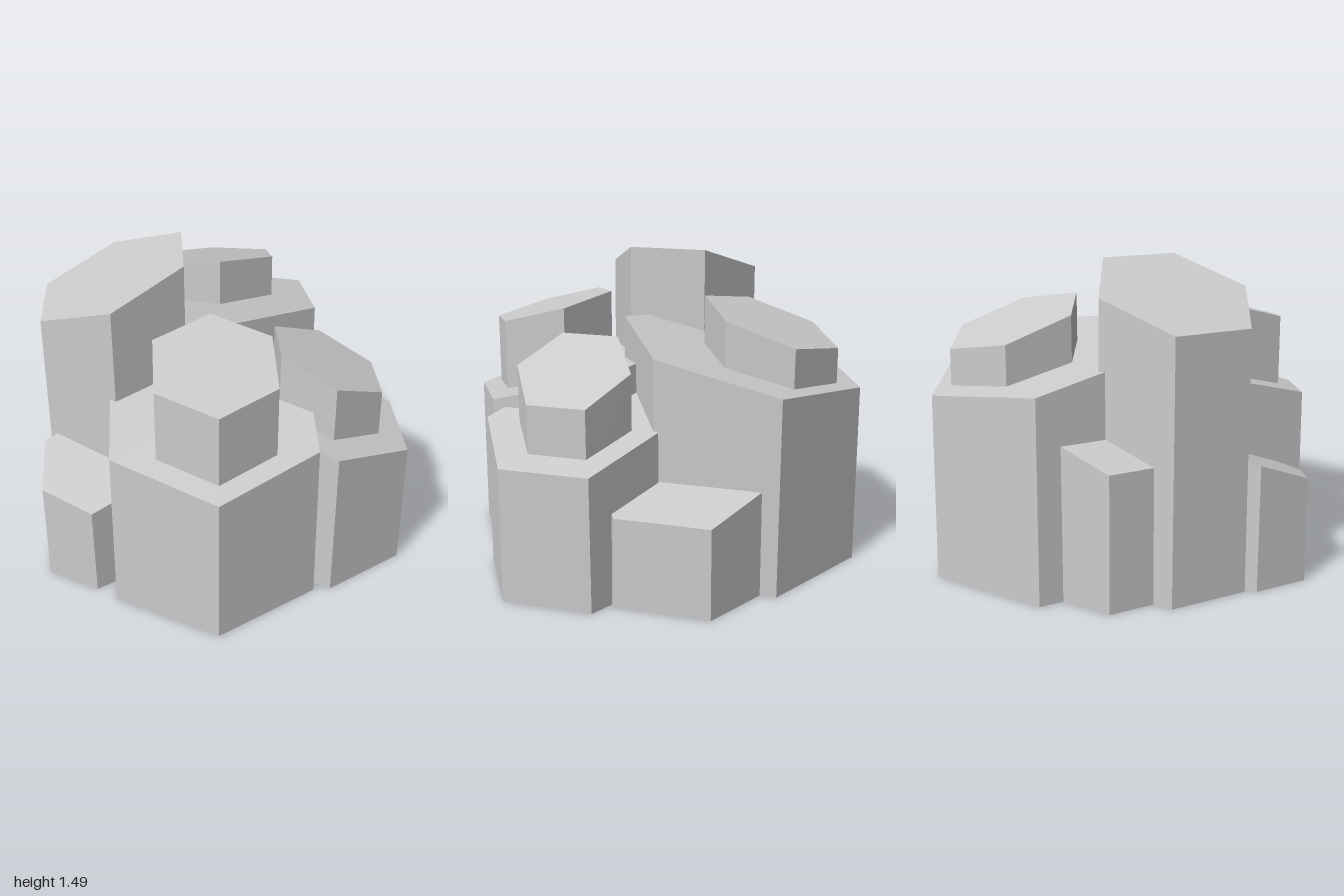
import * as THREE from 'three';

const TAPER = 1.02; // columns are slightly wider at the foot

// Six-sided prism with its top cut along a sloping plane.
// r: radius at the top, h: height on the axis, sx / sz: slope of the top along x and z
function hexPrism(name, material, { x, z, r, h, sx = 0, sz = 0, bottom = 0, taper = 1 }) {
  const indexed = new THREE.CylinderGeometry(r, r * taper, 1, 6);
  const p = indexed.attributes.position;
  for (let i = 0; i < p.count; i++) {
    const top = p.getY(i) > 0;
    p.setY(i, top ? h + sx * p.getX(i) + sz * p.getZ(i) : bottom);
  }
  const geometry = indexed.toNonIndexed();
  geometry.computeVertexNormals();
  const mesh = new THREE.Mesh(geometry, material);
  mesh.name = name;
  mesh.position.set(x, 0, z);
  return mesh;
}

export function createModel() {
  const group = new THREE.Group();
  group.name = 'basaltColumns';
  const stone = new THREE.MeshStandardMaterial({ color: 0xcccccc, flatShading: true });

  // Columns standing on the ground
  const columns = {
    backColumn: { x: -0.025, z: -0.41, r: 0.588, h: 1.033, sz: 0.235 },
    frontColumn: { x: -0.065, z: 0.447, r: 0.539, h: 0.89, sz: -0.26 },
    tallRightColumn: { x: -0.505, z: -0.003, r: 0.383, h: 1.365, sx: 0.388 },
    frontLeftColumn: { x: 0.493, z: 0.285, r: 0.424, h: 0.76, sx: -0.289 },
    shortRightColumn: { x: -0.635, z: 0.377, r: 0.268, h: 0.56, sz: -0.375 },
    backLeftColumn: { x: 0.39, z: -0.235, r: 0.448, h: 0.543, sx: -0.265 },
    backRightColumn: { x: -0.495, z: -0.315, r: 0.3, h: 0.75, sx: 0.4 },
  };
  for (const [name, c] of Object.entries(columns)) {
    group.add(hexPrism(name, stone, { ...c, taper: TAPER }));
  }

  // Narrower blocks rising out of three of the columns
  const caps = {
    backCap: { x: 0.018, z: -0.565, r: 0.323, h: 1.2, sz: 0.333, bottom: 0.75 },
    frontCap: { x: -0.058, z: 0.567, r: 0.309, h: 1.205, sz: -0.265, bottom: 0.6 },
    frontLeftCap: { x: 0.495, z: 0.265, r: 0.277, h: 1.03, sx: -0.45, bottom: 0.5 },
  };
  for (const [name, c] of Object.entries(caps)) group.add(hexPrism(name, stone, { ...c, taper: 1.01 }));

  return group;
}
